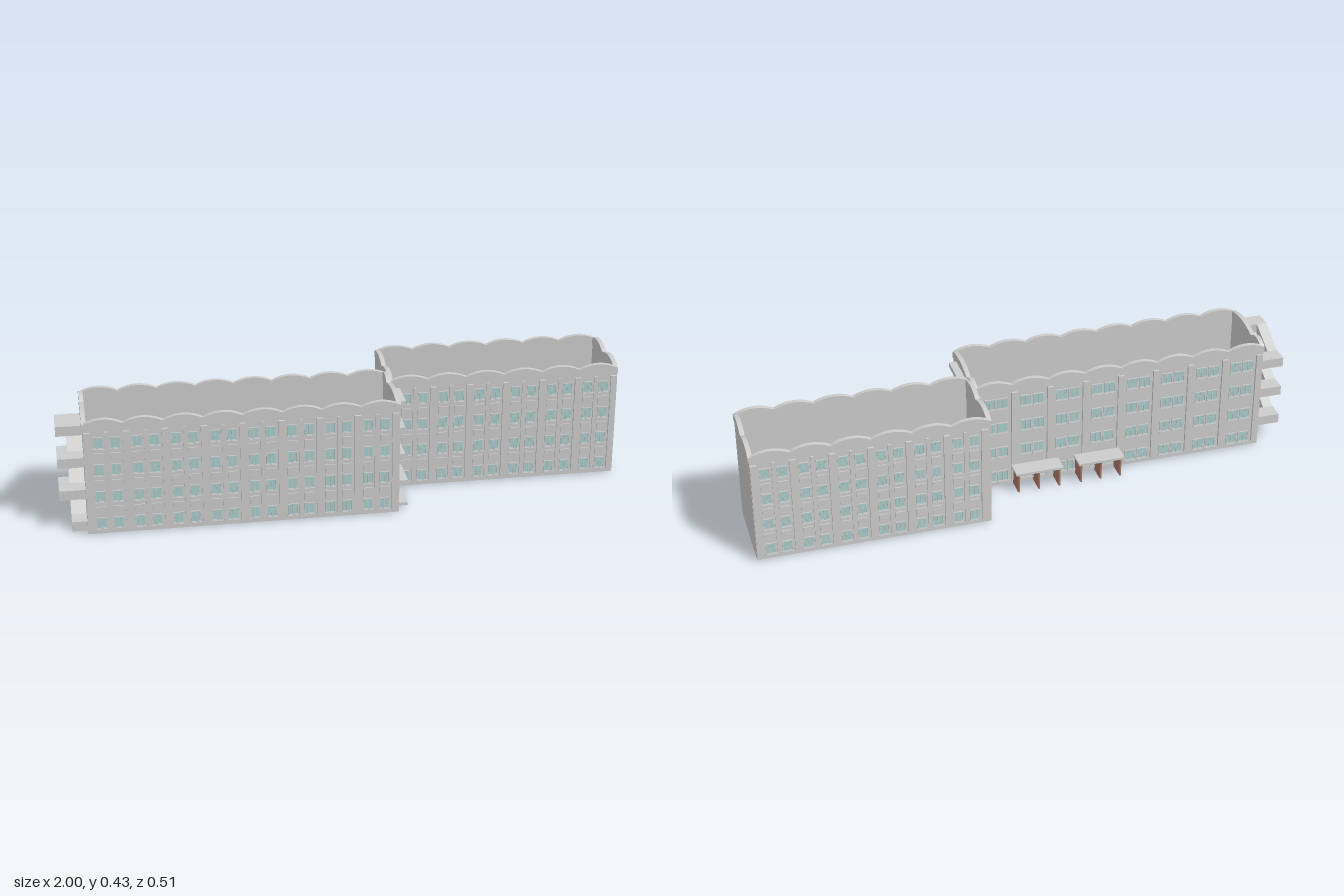
import * as THREE from 'three';

const grey = new THREE.MeshStandardMaterial({ color: 0xcccccc, flatShading: true });
const glass = new THREE.MeshStandardMaterial({ color: 0xa8cccc });
const brick = new THREE.MeshStandardMaterial({ color: 0xa87868 });

const TOP = 0.4;      // wall height below the parapet
const STOREY = 0.1;

function add(parent, name, geometry, material = grey) {
  const mesh = new THREE.Mesh(geometry, material);
  mesh.name = name;
  parent.add(mesh);
  return mesh;
}

// Box given by its limits on each axis
function block(parent, name, x0, x1, y0, y1, z0, z1, material = grey) {
  const mesh = add(parent, name, new THREE.BoxGeometry(x1 - x0, y1 - y0, z1 - z0), material);
  mesh.position.set((x0 + x1) / 2, (y0 + y1) / 2, (z0 + z1) / 2);
  return mesh;
}

function rectPath(path, x0, x1, y0, y1) {
  path.moveTo(x0, y0);
  path.lineTo(x1, y0);
  path.lineTo(x1, y1);
  path.lineTo(x0, y1);
  path.closePath();
  return path;
}

// Framed window with side by side panes, centred on u, standing on y
function windowUnit(parent, u, y, w, h, panes) {
  const g = new THREE.Group();
  g.name = 'window';
  g.position.set(u, y, 0);
  const rim = 0.0025;
  const shape = rectPath(new THREE.Shape(), -w / 2, w / 2, 0, h);
  const step = (w - rim) / panes;
  for (let i = 0; i < panes; i++) {
    const x0 = -w / 2 + rim + i * step;
    shape.holes.push(rectPath(new THREE.Path(), x0, x0 + step - rim, rim, h - rim));
  }
  add(g, 'windowFrame', new THREE.ExtrudeGeometry(shape, { depth: 0.004, bevelEnabled: false }));
  const pane = add(g, 'windowGlass', new THREE.PlaneGeometry(w - rim, h - rim), glass);
  pane.position.set(0, h / 2, 0.0012);
  parent.add(g);
}

// Tall stairwell glazing: two wide panes over four narrow ones
function hallWindow(parent, u, y, lowH = 0.042) {
  windowUnit(parent, u - 0.023, y + lowH + 0.006, 0.04, 0.027, 1);
  windowUnit(parent, u + 0.023, y + lowH + 0.006, 0.04, 0.027, 1);
  windowUnit(parent, u, y, 0.086, lowH, 4);
}

// Wall with scalloped parapet. Local frame: u = x, outward = +z, outer face at z = 0
function facade(parent, name, x, z, turn, length, bumps) {
  const g = new THREE.Group();
  g.name = name;
  g.position.set(x, 0, z);
  g.rotation.y = turn;
  parent.add(g);
  block(g, 'wall', -length / 2, length / 2, 0.003, TOP, -0.01, 0);
  const shape = new THREE.Shape();
  shape.moveTo(length / 2, 0.39);
  shape.lineTo(length / 2, 0.412);
  let u = length / 2;
  for (const share of bumps) {
    const w = length * share;
    shape.quadraticCurveTo(u - w / 2, 0.446, u - w, 0.412);
    u -= w;
  }
  shape.lineTo(-length / 2, 0.39);
  shape.closePath();
  const parapet = add(g, 'parapet',
    new THREE.ExtrudeGeometry(shape, { depth: 0.016, bevelEnabled: false, curveSegments: 8 }));
  parapet.position.z = -0.013;
  return g;
}

// Ribs, window columns and spandrels along a facade
function bays(g, start, count, pitch, { gap, width, spandrel, midRib }) {
  for (let i = 0; i <= count; i++) {
    const edge = start + i * pitch;
    block(g, 'pilaster', edge - 0.011, edge + 0.011, 0.02, 0.383, 0, 0.008);
    if (i === count) break;
    const mid = edge + pitch / 2;
    if (midRib) block(g, 'rib', mid - 0.006, mid + 0.006, 0.02, 0.383, 0, 0.005);
    for (let k = 0; k < 4; k++) {
      const y = 0.022 + k * STOREY;
      for (const side of [-1, 1]) {
        const u = mid + side * gap / 2;
        windowUnit(g, u, y, width, 0.042, 2);
        block(g, 'sill', u - width / 2 - 0.002, u + width / 2 + 0.002, y - 0.004, y, 0, 0.007);
        if (spandrel && k < 3) {
          block(g, 'spandrel', u - width / 2, u + width / 2, y + 0.053, y + 0.083, 0, 0.004);
        }
      }
    }
  }
}

// Stair strip running along z: front landing, slope, rear landing
function flight(parent, name, xRight, width, frontY, rearY) {
  const top = [[0.21, frontY], [0.15, frontY], [0.04, rearY], [-0.02, rearY]];
  const under = top.map(([z, y]) => [z, y - 0.035]).reverse();
  const shape = new THREE.Shape([...top, ...under].map(([z, y]) => new THREE.Vector2(z, y)));
  const mesh = add(parent, name, new THREE.ExtrudeGeometry(shape, { depth: width, bevelEnabled: false }));
  mesh.rotation.y = -Math.PI / 2;
  mesh.position.x = xRight;
}

const equal = (n) => Array(n).fill(1 / n);

export function createModel() {
  const model = new THREE.Group();
  model.name = 'apartmentBuilding';
  const frontBays = { gap: 0.058, width: 0.034, spandrel: true, midRib: true };
  const rearBays = { gap: 0.046, width: 0.04, spandrel: false, midRib: false };
  const pitch = 0.1315;

  // Long wing, towards -x
  const longWing = new THREE.Group();
  longWing.name = 'longWing';
  model.add(longWing);
  const L = { x0: -0.91, x1: 0.17, z0: -0.04, z1: 0.245 };
  const lx = (L.x0 + L.x1) / 2, lz = (L.z0 + L.z1) / 2, lw = L.x1 - L.x0, ld = L.z1 - L.z0;
  const front = facade(longWing, 'longFront', lx, L.z1, 0, lw, equal(8));
  bays(front, -lw / 2 + 0.012, 8, pitch, frontBays);
  const rear = facade(longWing, 'longRear', lx, L.z0, Math.PI, lw, equal(8));
  bays(rear, -lw / 2 + 0.012, 8, pitch, rearBays);
  facade(longWing, 'longLeftEnd', L.x0, lz, -Math.PI / 2, ld, [0.68, 0.32]);
  const hall = facade(longWing, 'longRightEnd', L.x1, lz, Math.PI / 2, ld, [0.32, 0.68]);

  // Balconies and glazing on the inner end of the long wing
  const hu = lz - 0.135;
  for (let k = 0; k < 4; k++) {
    hallWindow(hall, hu, k ? 0.003 + k * STOREY : 0.012, k ? 0.042 : 0.036);
    const half = k ? 0.058 : 0.064;
    const y = (k + 1) * STOREY;
    block(hall, 'balcony', hu - half, hu + half, y - (k ? 0.017 : 0.02), y, 0, k ? 0.03 : 0.04);
  }
  block(hall, 'entranceStep', hu - 0.058, hu + 0.058, 0, 0.01, 0, 0.04);

  // Short wing, towards +x and set back
  const shortWing = new THREE.Group();
  shortWing.name = 'shortWing';
  model.add(shortWing);
  const S = { x0: 0.17, x1: 0.995, z0: -0.247, z1: 0.045 };
  const sx = (S.x0 + S.x1) / 2, sz = (S.z0 + S.z1) / 2, sw = S.x1 - S.x0, sd = S.z1 - S.z0;
  const shortFront = facade(shortWing, 'shortFront', sx, S.z1, 0, sw, equal(6));
  bays(shortFront, sw / 2 - 0.012 - 6 * pitch, 6, pitch, frontBays);
  const shortRear = facade(shortWing, 'shortRear', sx, S.z0, Math.PI, sw, equal(6));
  bays(shortRear, -sw / 2 + 0.012, 6, pitch, frontBays);
  facade(shortWing, 'shortRightEnd', S.x1, sz, Math.PI / 2, sd, equal(2));
  const inner = facade(shortWing, 'shortLeftEnd', S.x0, sz, -Math.PI / 2, sd, equal(2));

  // Rear entrance in the corner between the wings
  const eu = -0.092 - sz;
  for (let k = 0; k < 4; k++) hallWindow(inner, eu, 0.012 + k * STOREY, 0.036);
  block(inner, 'porchRoof', eu - 0.033, eu + 0.033, 0.085, 0.097, 0, 0.035);
  block(inner, 'porchStep', eu - 0.033, eu + 0.033, 0, 0.01, 0, 0.035);

  // Canopies on brick fins behind the long wing
  for (const [x0, x1] of [[-0.365, -0.193], [-0.135, 0.04]]) {
    const canopy = new THREE.Group();
    canopy.name = 'rearCanopy';
    block(canopy, 'canopyRoof', x0, x1, 0.078, 0.086, -0.116, L.z0 - 0.008);
    for (let i = 0; i < 3; i++) {
      const x = x0 + 0.012 + i * (x1 - x0 - 0.024) / 2;
      block(canopy, 'canopyFin', x - 0.003, x + 0.003, 0.003, 0.078, -0.105, L.z0, brick);
    }
    model.add(canopy);
  }

  // Outside stairs folded against the far end of the long wing
  const stairs = new THREE.Group();
  stairs.name = 'outsideStairs';
  for (let k = 0; k < 3; k++) {
    const landing = 0.395 - 0.12 * k, turn = landing - 0.055;
    flight(stairs, 'outerFlight', -0.963, 0.037, landing, turn);
    flight(stairs, 'innerFlight', L.x0, 0.053, landing - 0.12, turn);
  }
  block(stairs, 'topLanding', -0.963, L.x0, 0.36, 0.395, 0.15, 0.21);
  model.add(stairs);

  return model;
}
